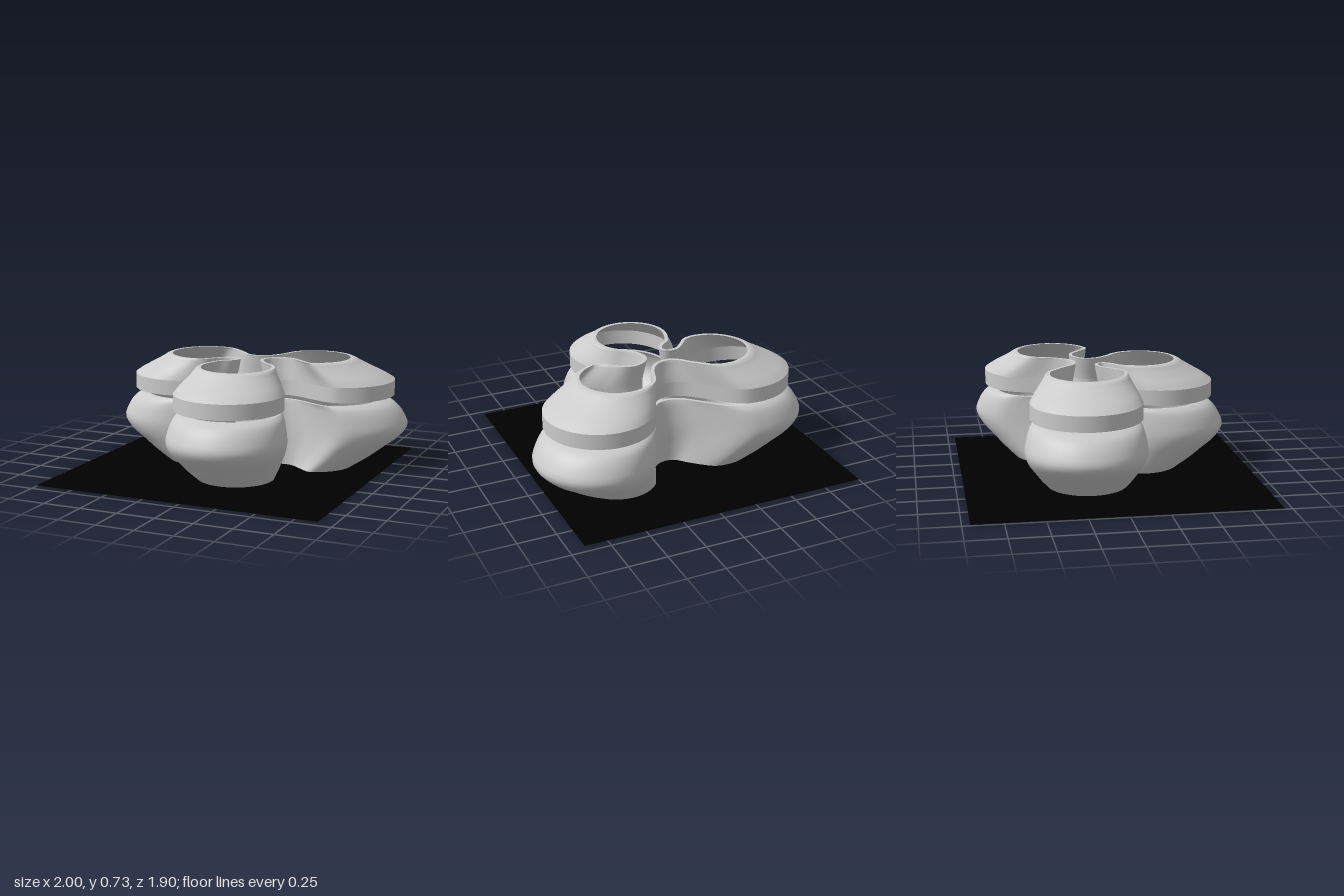
import * as THREE from 'three';
import { mergeVertices, toCreasedNormals } from 'three/addons/utils/BufferGeometryUtils.js';

const SEGMENTS = 240;
const THICKNESS = 0.022;
const grey = new THREE.MeshStandardMaterial({ color: 0xcccccc, side: THREE.DoubleSide });
const black = new THREE.MeshStandardMaterial({ color: 0x000000, side: THREE.DoubleSide });

// Three-lobed plan outlines [x, z]: each lobe is an arc, joined by a concave neck.
const narrow = [
  { c: [-0.32, -0.16], r: 0.255, arc: [80, 290],
    neck: [[-0.1, -0.29], [-0.04, -0.225], [0.02, -0.205], [0.09, -0.225], [0.15, -0.3]] },
  { c: [0.41, -0.3], r: 0.25, arc: [215, 440],
    neck: [[0.36, -0.12], [0.29, -0.17], [0.22, -0.175], [0.15, -0.13], [0.135, -0.06], [0.19, 0.03], [0.26, 0.09]] },
  { c: [0.075, 0.25], r: 0.247, arc: [-25, 205],
    neck: [[-0.12, 0.08], [-0.06, 0.03], [-0.035, -0.02], [-0.06, -0.05], [-0.12, -0.04], [-0.18, 0.02], [-0.22, 0.065]] },
];
const wide = [
  { c: [-0.535, -0.195], r: 0.385, arc: [80, 290],
    neck: [[-0.19, -0.36], [-0.08, -0.27], [0.01, -0.24], [0.11, -0.26], [0.19, -0.38]] },
  { c: [0.615, -0.42], r: 0.385, arc: [217, 440],
    neck: [[0.5, -0.085], [0.36, -0.14], [0.25, -0.155], [0.185, -0.11], [0.175, -0.05], [0.24, 0.03], [0.34, 0.11]] },
  { c: [0.085, 0.425], r: 0.385, arc: [-25, 205],
    neck: [[-0.18, 0.13], [-0.1, 0.05], [-0.07, -0.005], [-0.085, -0.02], [-0.14, 0.005], [-0.22, 0.07], [-0.32, 0.14]] },
];

function outline(lobes) {
  const points = [];
  for (const { c, r, arc, neck } of lobes) {
    for (let i = 0; i <= 12; i++) {
      const a = THREE.MathUtils.degToRad(THREE.MathUtils.lerp(arc[0], arc[1], i / 12));
      points.push(new THREE.Vector3(c[0] + r * Math.cos(a), 0, c[1] + r * Math.sin(a)));
    }
    for (const [x, z] of neck) points.push(new THREE.Vector3(x, 0, z));
  }
  const curve = new THREE.CatmullRomCurve3(points, true, 'centripetal');
  return Array.from({ length: SEGMENTS }, (_, i) => curve.getPoint(i / SEGMENTS));
}
const inner = outline(narrow);
const outer = outline(wide);

// One horizontal section: blend of the two outlines, moved inward by an inset.
function section(y, flare, inset) {
  const ring = inner.map((p, i) => p.clone().lerp(outer[i], flare));
  return ring.map((p, i) => {
    const t = ring[(i + 1) % SEGMENTS].clone().sub(ring[(i + SEGMENTS - 1) % SEGMENTS]).normalize();
    return new THREE.Vector3(p.x - t.z * inset, y, p.z + t.x * inset);
  });
}

// Hollow wall: up the outside, over the rim, down the inside and back under.
function wall(name, profile) {
  const smooth = new THREE.SplineCurve(profile.map(([y, f]) => new THREE.Vector2(f, y))).getPoints(24);
  const rows = [
    ...smooth.map((p) => section(p.y, p.x, 0)),
    ...smooth.slice().reverse().map((p) => section(p.y, p.x, THICKNESS)),
  ];
  const positions = rows.flat().flatMap((p) => [p.x, p.y, p.z]);
  const index = [];
  for (let r = 0; r < rows.length; r++) {
    const next = (r + 1) % rows.length;
    for (let i = 0; i < SEGMENTS; i++) {
      const j = (i + 1) % SEGMENTS;
      const a = r * SEGMENTS + i, b = r * SEGMENTS + j;
      const c = next * SEGMENTS + i, d = next * SEGMENTS + j;
      index.push(a, c, b, b, c, d);
    }
  }
  const geometry = new THREE.BufferGeometry();
  geometry.setAttribute('position', new THREE.Float32BufferAttribute(positions, 3));
  geometry.setIndex(index);
  const mesh = new THREE.Mesh(toCreasedNormals(geometry, 0.6), grey);
  mesh.name = name;
  return mesh;
}

// Low oval pad with a rounded upper edge.
function pad(x, z, angle) {
  const shape = new THREE.Shape();
  shape.absarc(0.055, 0, 0.03, -Math.PI / 2, Math.PI / 2);
  shape.absarc(-0.055, 0, 0.03, Math.PI / 2, Math.PI * 1.5);
  const geometry = new THREE.ExtrudeGeometry(shape, {
    depth: 0.02, bevelSize: 0.02, bevelThickness: 0.02, bevelSegments: 4, curveSegments: 16,
  });
  geometry.rotateX(-Math.PI / 2);
  geometry.deleteAttribute('uv');
  geometry.deleteAttribute('normal');
  const mesh = new THREE.Mesh(toCreasedNormals(mergeVertices(geometry), 0.6), grey);
  mesh.name = 'ovalPad';
  mesh.position.set(x, 0.026, z);
  mesh.rotation.y = -angle;
  return mesh;
}

export function createModel() {
  const group = new THREE.Group();
  group.name = 'trefoilPavilion';

  // Ground sheet
  const sheet = new THREE.Mesh(new THREE.PlaneGeometry(1.9, 1.9), black);
  sheet.name = 'groundSheet';
  sheet.rotation.x = -Math.PI / 2;
  sheet.position.set(-0.05, 0.006, 0);
  group.add(sheet);

  // Wall profiles as [height, flare]
  group.add(wall('lowerWall', [
    [0, 0], [0.02, 0.09], [0.08, 0.36], [0.15, 0.63], [0.21, 0.86], [0.28, 1],
    [0.35, 0.93], [0.4, 0.83], [0.435, 0.71], [0.457, 0.53],
  ]));
  const upper = new THREE.Group();
  upper.name = 'upperStorey';
  upper.add(wall('upperBand', [[0.485, 0.75], [0.585, 0.75]]));
  upper.add(wall('upperShoulder', [[0.585, 0.75], [0.62, 0.59], [0.66, 0.37], [0.7, 0.16], [0.72, 0.07], [0.73, 0]]));
  group.add(upper);

  // One pad inside each lobe
  for (const [x, z, angle] of [[-0.37, -0.15, 0.97], [0.46, -0.345, 0.4], [0.085, 0.285, 1.27]]) {
    group.add(pad(x, z, angle));
  }
  return group;
}
